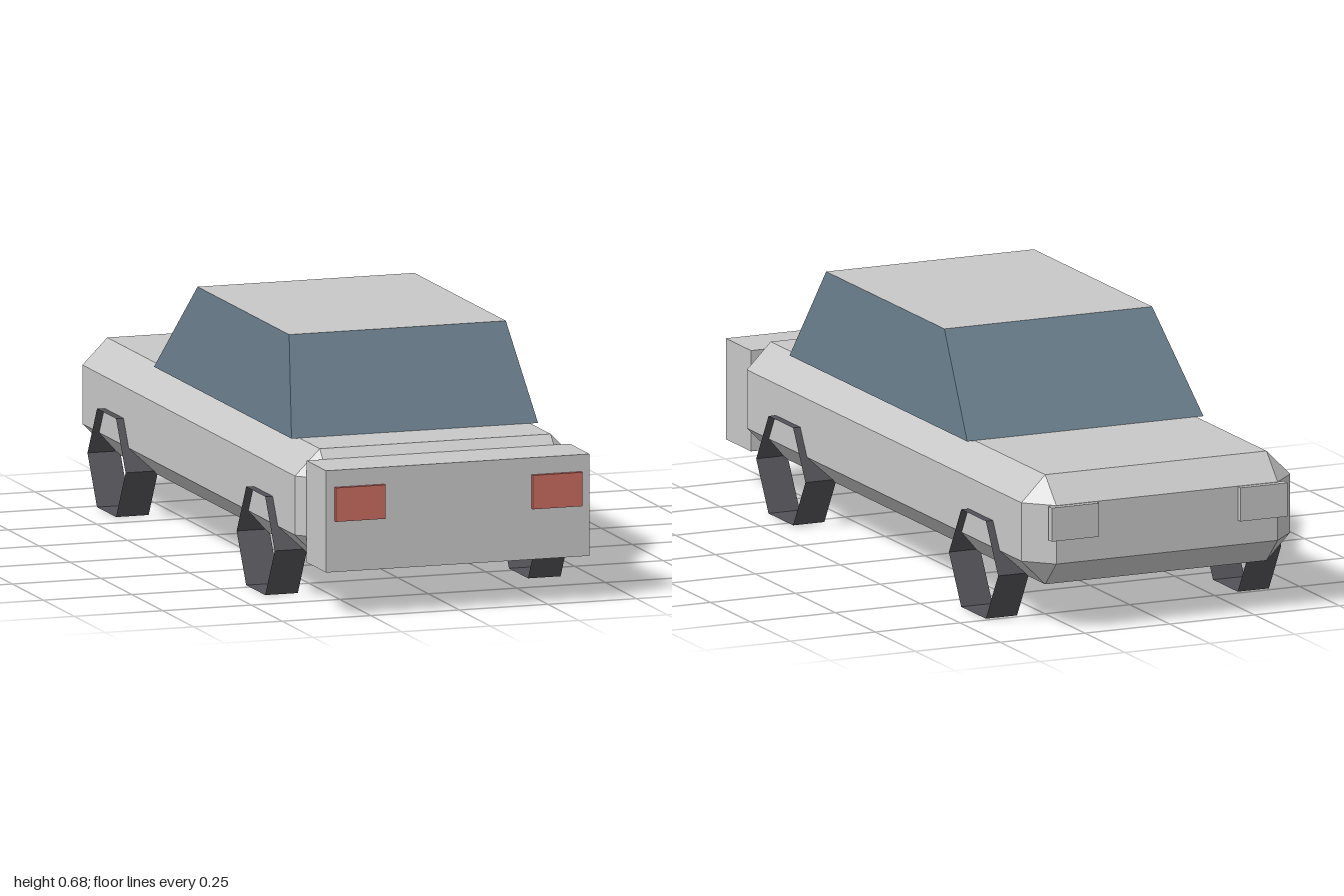
import * as THREE from 'three';
import { ConvexGeometry } from 'three/addons/geometries/ConvexGeometry.js';

function material(name, color, side = THREE.FrontSide) {
  const m = new THREE.MeshStandardMaterial({ color, side, flatShading: true });
  m.name = name;
  return m;
}

export function createModel() {
  const paint = material('body grey', 0xc8c8c8);
  const glass = material('window blue', 0x667a88);
  const red = material('lamp red', 0xc96b60);
  const rubber = material('tyre black', 0x525157, THREE.DoubleSide);

  const model = new THREE.Group();
  model.name = 'car';

  function add(name, geometry, mat, x = 0, y = 0, z = 0) {
    const mesh = new THREE.Mesh(geometry, mat);
    mesh.name = name;
    mesh.position.set(x, y, z);
    model.add(mesh);
    return mesh;
  }

  // Body: box with every edge chamfered, three points per corner
  const [hx, hy, hz, c] = [0.396, 0.15, 0.929, 0.07];
  const corners = [];
  for (const x of [-1, 1]) for (const y of [-1, 1]) for (const z of [-1, 1]) {
    corners.push(
      new THREE.Vector3(x * hx, y * (hy - c), z * (hz - c)),
      new THREE.Vector3(x * (hx - c), y * hy, z * (hz - c)),
      new THREE.Vector3(x * (hx - c), y * (hy - c), z * hz));
  }
  add('body', new ConvexGeometry(corners), paint, 0, 0.273, -0.054);

  // Front block
  add('frontBlock', new THREE.BoxGeometry(0.744, 0.276, 0.158), paint, 0, 0.26, 0.909);

  // Cabin: box tapered towards the roof, painted roof and glass sides
  const cabin = new THREE.BoxGeometry(2, 0.255, 2);
  const p = cabin.attributes.position;
  for (let i = 0; i < p.count; i++) {
    const top = p.getY(i) > 0;
    p.setX(i, p.getX(i) * (top ? 0.306 : 0.348));
    p.setZ(i, p.getZ(i) > 0 ? (top ? 0.5 : 0.64) : (top ? -0.24 : -0.472));
  }
  cabin.computeVertexNormals();
  add('cabin', cabin, [glass, glass, paint, glass, glass, glass], 0, 0.55, 0);

  // Lamps: red at the front, plain at the back
  for (const side of [-1, 1]) {
    const end = side > 0 ? 'left' : 'right';
    add(end + 'FrontLamp', new THREE.BoxGeometry(0.139, 0.092, 0.014), red, side * 0.278, 0.306, 0.993);
    add(end + 'BackLamp', new THREE.BoxGeometry(0.139, 0.092, 0.022), paint, side * 0.278, 0.306, -0.989);

    // Wheels: open six-sided hoops with a corner pointing along z
    for (const [place, z] of [['Front', 0.548], ['Back', -0.658]]) {
      const hoop = new THREE.CylinderGeometry(0.154, 0.154, 0.092, 6, 1, true).rotateZ(Math.PI / 2);
      add(end + place + 'Wheel', hoop, rubber, side * 0.371, 0.1334, z);
    }
  }
  return model;
}
